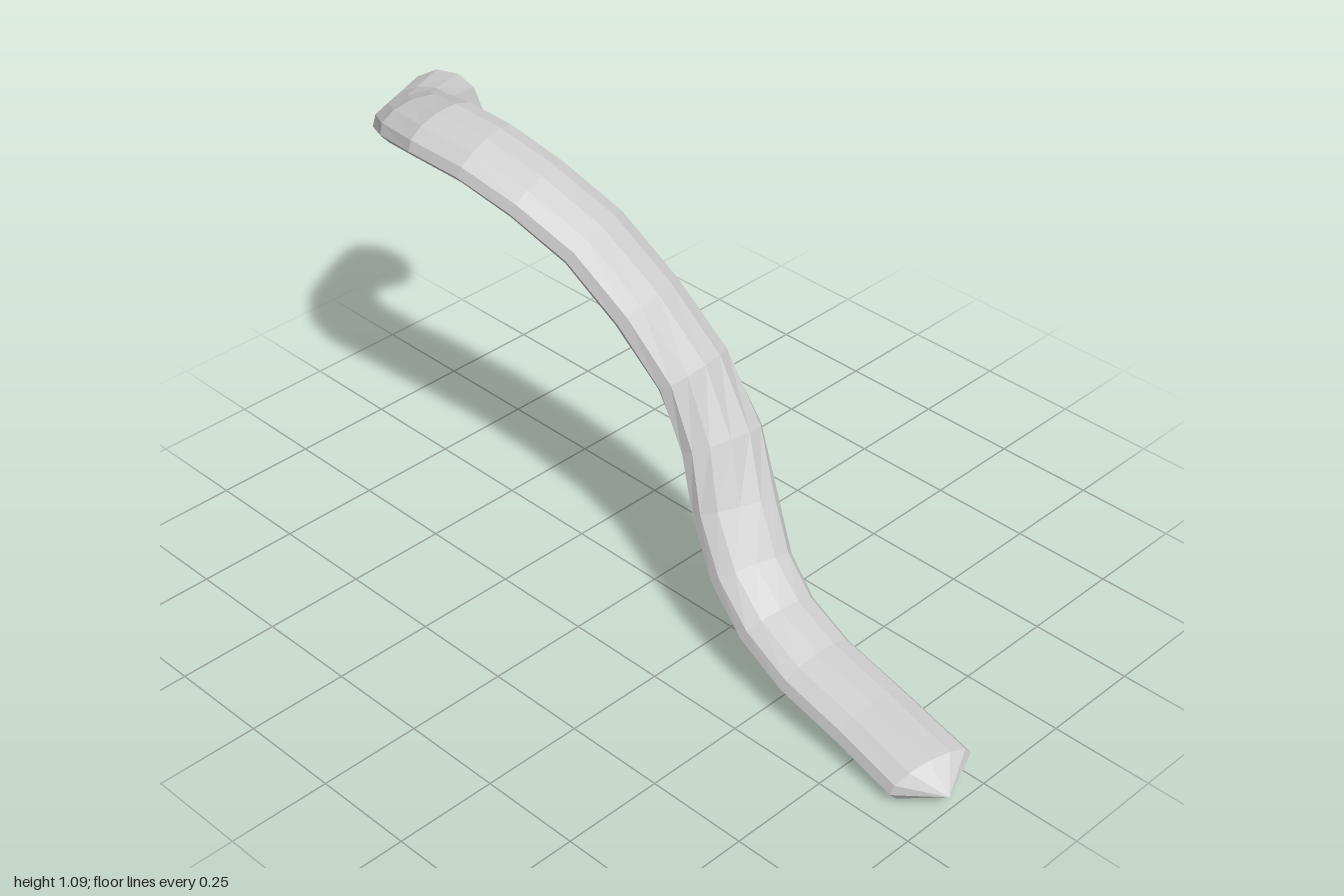
import * as THREE from 'three';

const SIDES = 12;
const ROLL = 0.2;

// Cross-sections from the open root to the end: x, y, z, half width, half thickness
const SECTIONS = [
  [-0.905, 0.85, -0.175, 0.103, 0.1],
  [-0.85, 0.905, -0.065, 0.09, 0.064],
  [-0.765, 0.965, 0.03, 0.096, 0.052],
  [-0.66, 1.025, 0.095, 0.1, 0.048],
  [-0.55, 1.05, 0.122, 0.1, 0.047],
  [-0.42, 1.035, 0.108, 0.1, 0.047],
  [-0.29, 0.985, 0.078, 0.1, 0.048],
  [-0.15, 0.905, 0.04, 0.1, 0.05],
  [-0.02, 0.78, 0.005, 0.1, 0.053],
  [0.1, 0.645, -0.02, 0.1, 0.055],
  [0.19, 0.5, -0.022, 0.1, 0.056],
  [0.26, 0.365, 0.005, 0.1, 0.054],
  [0.34, 0.252, 0.035, 0.098, 0.052],
  [0.44, 0.175, 0.056, 0.098, 0.05],
  [0.57, 0.125, 0.071, 0.1, 0.048],
  [0.74, 0.09, 0.08, 0.1, 0.047],
  [0.932, 0.057, 0.1, 0.102, 0.046],
];
const TIP = [1, 0.045, 0.118];

// Surface skinned over the sections, with flat facets
function skinGeometry() {
  const centres = SECTIONS.map(([x, y, z]) => new THREE.Vector3(x, y, z));
  const last = centres.length - 1;
  const positions = [];
  const index = [];

  SECTIONS.forEach(([, , , width, thickness], i) => {
    // Both ends are cut at their own slant
    const along = i === 0 ? new THREE.Vector3(0.47, 0.32, 0.83)
      : i === last ? new THREE.Vector3(0.95, -0.12, 0.29)
      : centres[i + 1].clone().sub(centres[i - 1]);
    along.normalize();
    const side = new THREE.Vector3().crossVectors(along, new THREE.Vector3(0, 1, 0)).normalize();
    const up = new THREE.Vector3().crossVectors(side, along);
    side.applyAxisAngle(along, ROLL);
    up.applyAxisAngle(along, ROLL);
    // Lower the front edge
    if (side.y > 0) {
      side.applyAxisAngle(along, -2 * ROLL);
      up.applyAxisAngle(along, -2 * ROLL);
    }
    for (let j = 0; j < SIDES; j++) {
      const a = (j / SIDES) * Math.PI * 2;
      const p = centres[i].clone()
        .addScaledVector(side, Math.cos(a) * width)
        .addScaledVector(up, Math.sin(a) * thickness);
      positions.push(p.x, p.y, p.z);
    }
  });

  for (let i = 0; i < last; i++) {
    for (let j = 0; j < SIDES; j++) {
      const k = (j + 1) % SIDES;
      const a = i * SIDES + j, b = a + SIDES, c = i * SIDES + k, d = c + SIDES;
      index.push(a, b, c, b, d, c);
    }
  }

  // Pointed end cap
  const tip = positions.length / 3;
  positions.push(...TIP);
  for (let j = 0; j < SIDES; j++) {
    index.push(last * SIDES + j, tip, last * SIDES + ((j + 1) % SIDES));
  }

  const geometry = new THREE.BufferGeometry();
  geometry.setAttribute('position', new THREE.Float32BufferAttribute(positions, 3));
  geometry.setIndex(index);
  geometry.computeVertexNormals();
  return geometry;
}

export function createModel() {
  const group = new THREE.Group();
  group.name = 'tail';
  const material = new THREE.MeshStandardMaterial({
    color: 0xcccccc, flatShading: true, side: THREE.DoubleSide,
  });
  const tail = new THREE.Mesh(skinGeometry(), material);
  tail.name = 'tailSkin';
  group.add(tail);
  return group;
}
